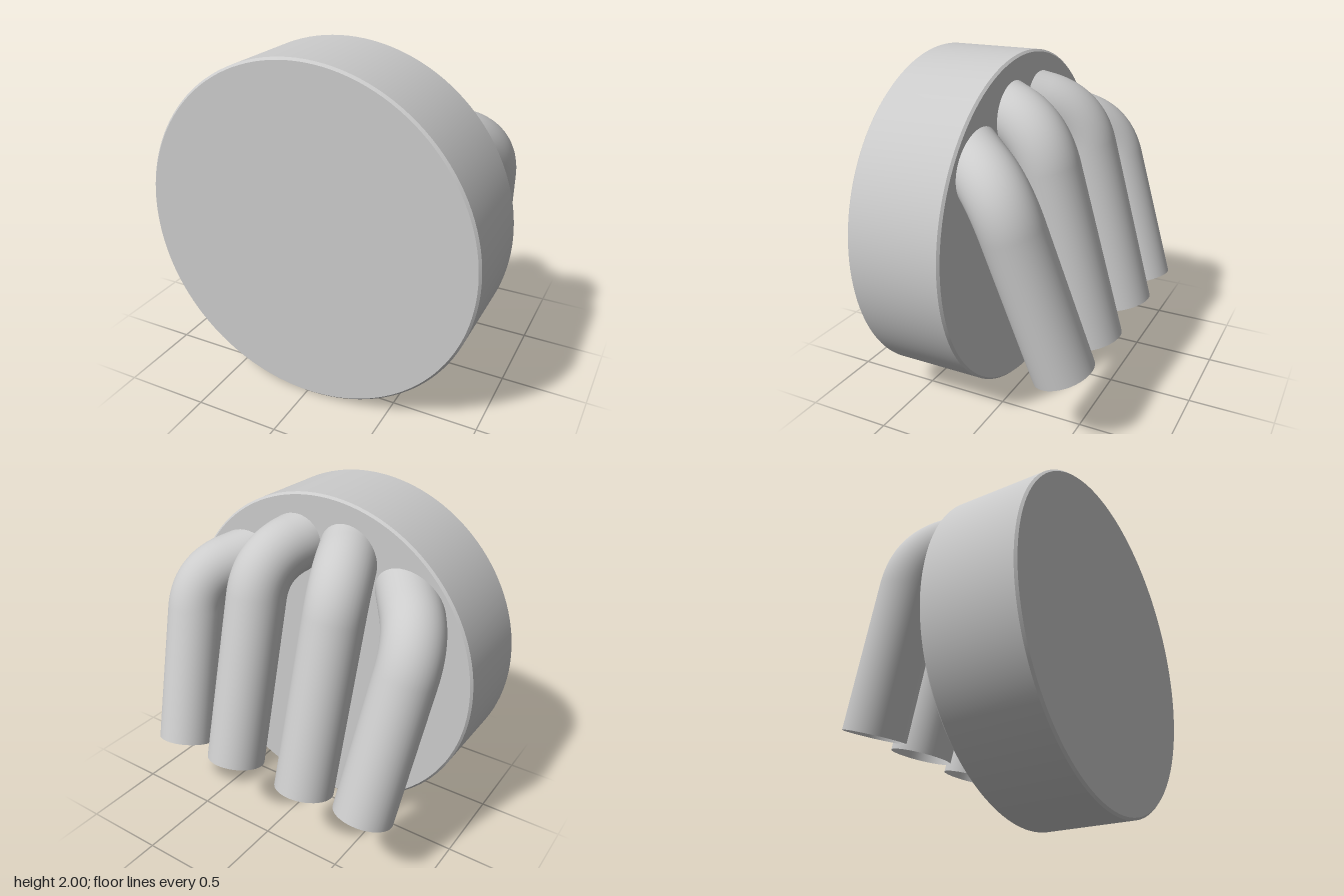
import * as THREE from 'three';
import { toCreasedNormals } from 'three/addons/utils/BufferGeometryUtils.js';

const R = 0.175; // tube radius

// Two straight runs joined by a rounded bend at the corner
function bentPath(start, corner, end, bend) {
  const inDir = corner.clone().sub(start).normalize();
  const outDir = end.clone().sub(corner).normalize();
  const a = corner.clone().addScaledVector(inDir, -bend);
  const b = corner.clone().addScaledVector(outDir, bend);
  const root = start.clone().addScaledVector(inDir, -0.18); // buried in the disc
  const path = new THREE.CurvePath();
  path.add(new THREE.LineCurve3(root, a));
  path.add(new THREE.QuadraticBezierCurve3(a, corner, b));
  path.add(new THREE.LineCurve3(b, end));
  return path;
}

export function createModel() {
  const model = new THREE.Group();
  model.name = 'discWithTubes';
  const solid = new THREE.MeshStandardMaterial({ color: 0xcccccc });
  const open = new THREE.MeshStandardMaterial({ color: 0xcccccc, side: THREE.DoubleSide });

  // Thick upright disc with finely chamfered rims
  const back = 0.07, front = 0.64, c = 0.013;
  const profile = [
    [0, back], [1 - c, back], [1, back + c],
    [1, front - c], [1 - c, front], [0, front],
  ].map(([r, h]) => new THREE.Vector2(r, h));
  const discGeometry = toCreasedNormals(new THREE.LatheGeometry(profile, 128), 0.5);
  discGeometry.rotateX(Math.PI / 2);
  const disc = new THREE.Mesh(discGeometry, solid);
  disc.name = 'disc';
  disc.position.y = 1;
  model.add(disc);

  // Four open, bent tubes on the back, mirrored in pairs
  const tubes = [
    { name: 'InnerTube', start: [0.185, 1.68, 0.07], corner: [0.268, 1.62, -0.137], end: [0.255, 0.435, -0.465] },
    { name: 'OuterTube', start: [0.585, 1.5, 0.07], corner: [0.75, 1.42, -0.145], end: [0.655, 0.435, -0.465] },
  ];
  for (const [side, sign] of [['left', 1], ['right', -1]]) {
    for (const t of tubes) {
      const [start, corner, end] = [t.start, t.corner, t.end]
        .map(([x, y, z]) => new THREE.Vector3(x * sign, y, z));
      const path = bentPath(start, corner, end, 0.21);
      const tube = new THREE.Mesh(new THREE.TubeGeometry(path, 80, R, 40, false), open);
      tube.name = side + t.name;
      model.add(tube);
    }
  }
  return model;
}
